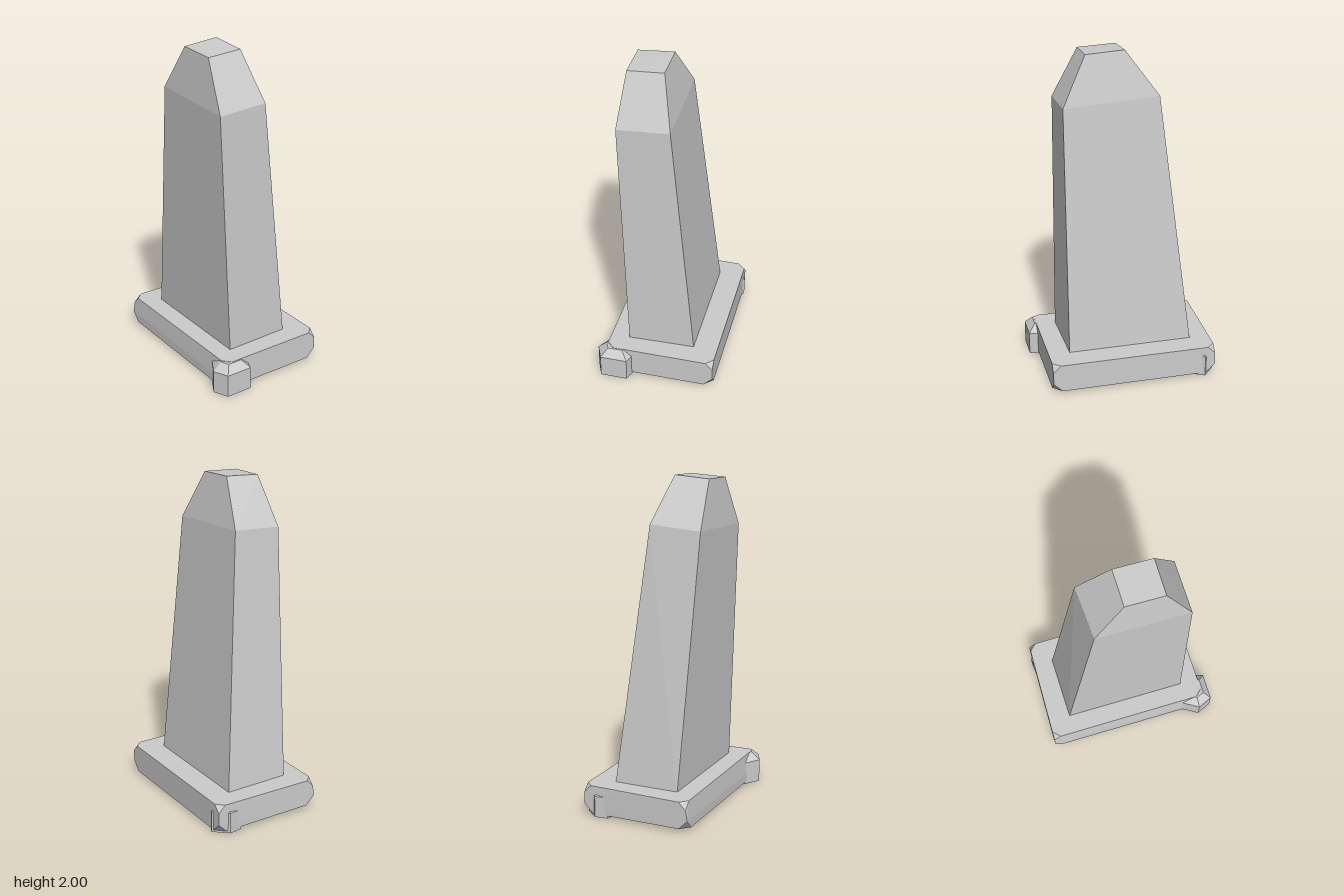
import * as THREE from 'three';
import { ConvexGeometry } from 'three/addons/geometries/ConvexGeometry.js';

const material = new THREE.MeshStandardMaterial({ color: 0xcccccc, flatShading: true });

// Faceted convex block from [x, y, z] corners
function block(name, corners) {
  const mesh = new THREE.Mesh(new ConvexGeometry(corners.map(c => new THREE.Vector3(...c))), material);
  mesh.name = name;
  return mesh;
}

// Slab whose eight corners are each sliced off by a small triangle
function plinth() {
  const points = [];
  for (const sx of [-1, 1]) for (const sy of [-1, 1]) for (const sz of [-1, 1]) {
    const x = sx < 0 ? (sz > 0 ? -0.543 : -0.53) : 0.485;
    const y = sy < 0 ? (sx < 0 && sz > 0 ? 0.025 : 0.015) : 0.19;
    const z = sz < 0 ? -0.365 : (sy < 0 ? 0.317 : 0.307);
    const cut = sy < 0 ? 0.055 : 0.045;
    points.push([x - sx * cut, y, z], [x, y - sy * cut, z], [x, y, z - sz * cut]);
  }
  return block('plinth', points);
}

// Six-sided stone with a bevelled top
function stone(name, outline, shoulder, top) {
  const n = outline.length;
  const cx = outline.reduce((s, p) => s + p[0], 0) / n;
  const cz = outline.reduce((s, p) => s + p[1], 0) / n;
  const ring = (y, k) => outline.map(([x, z]) => [cx + (x - cx) * k, y, cz + (z - cz) * k]);
  return block(name, [...ring(0, 1), ...ring(shoulder, 1), ...ring(top, 0.55)]);
}

export function createModel() {
  const group = new THREE.Group();
  group.name = 'leaningObelisk';
  group.add(plinth());

  // Leaning tapered shaft with a blunt, sloping cap
  group.add(block('shaft', [
    [-0.412, 0.16, -0.22], [-0.407, 0.16, 0.187], [0.365, 0.16, 0.19], [0.355, 0.16, -0.22],
    [-0.24, 1.73, -0.065], [-0.22, 1.705, 0.247], [0.342, 1.68, 0.247], [0.338, 1.695, -0.067],
    [-0.045, 2.0, 0.002], [-0.043, 1.985, 0.22], [0.19, 1.975, 0.22], [0.19, 1.987, 0.002],
  ]));

  // Stones wedged under two opposite corners
  group.add(stone('frontStone',
    [[0.445, 0.37], [0.537, 0.33], [0.537, 0.165], [0.44, 0.13], [0.34, 0.19], [0.345, 0.31]], 0.142, 0.188));
  group.add(stone('backStone',
    [[-0.465, -0.375], [-0.54, -0.29], [-0.53, -0.21], [-0.44, -0.17], [-0.36, -0.22], [-0.365, -0.32]], 0.13, 0.175));
  return group;
}
